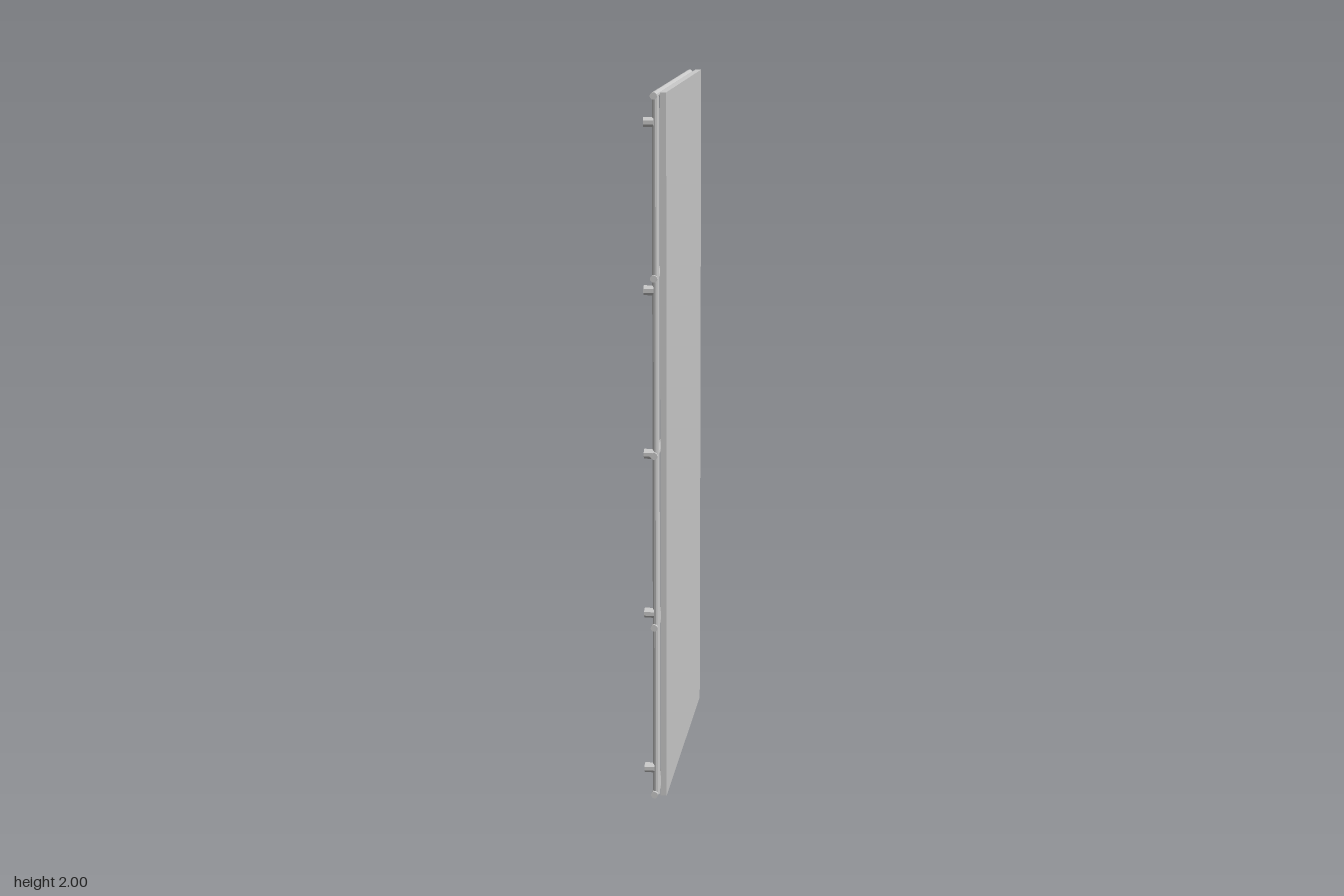
import * as THREE from 'three';

const material = new THREE.MeshStandardMaterial({ color: 0xcccccc, flatShading: true });

export function createModel() {
  const group = new THREE.Group();

  const add = (name, geometry, x, y, z) => {
    const mesh = new THREE.Mesh(geometry, material);
    mesh.name = name;
    mesh.position.set(x, y, z);
    group.add(mesh);
  };

  // Flat sheet on the +x side
  add('panel', new THREE.BoxGeometry(0.017, 1.99, 0.882), 0.0225, 1.005, 0);

  // Horizontal rails running the full depth of the panel
  const rail = new THREE.CylinderGeometry(0.01, 0.01, 0.882, 12).rotateX(Math.PI / 2);
  for (const y of [0.01, 0.505, 1, 1.495, 1.99]) add('horizontalRail', rail, -0.004, y, 0);

  // Uprights between the panel and the rails, each with a row of mounting knobs
  const upright = new THREE.CylinderGeometry(0.01, 0.01, 1.98, 12);
  const knob = new THREE.CylinderGeometry(0.014, 0.014, 0.028, 8)
    .rotateY(Math.PI / 8)
    .rotateZ(Math.PI / 2);
  for (const z of [-0.427, 0, 0.423]) {
    add('upright', upright, 0, 1, z);
    for (let i = 0; i < 5; i++) add('mountingKnob', knob, -0.019, 0.087 + i * 0.458, z);
  }

  return group;
}
